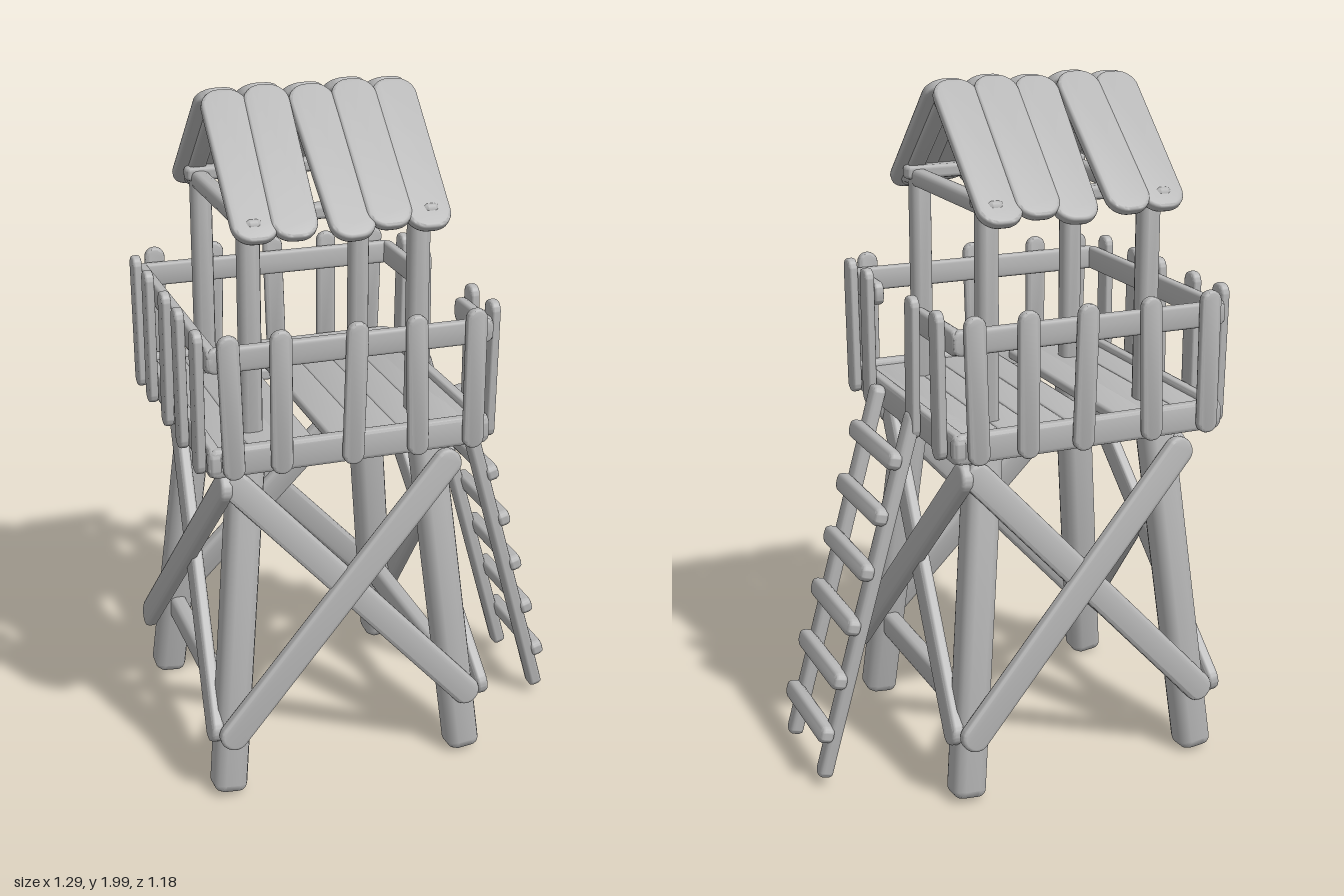
import * as THREE from 'three';
import { toCreasedNormals } from 'three/addons/utils/BufferGeometryUtils.js';

const wood = new THREE.MeshStandardMaterial({ color: 0xb6b6b6 });
wood.name = 'plainWood';

const V = (x, y, z) => new THREE.Vector3(x, y, z);

// Plank with rounded ends from a to b; its broad face looks along normal
function plank(parent, name, a, b, width, thick, normal, round = 0.48) {
  const bevel = Math.min(width, thick) * 0.28;
  const L = a.distanceTo(b) / 2, w = width / 2, r = width * round;
  const s = new THREE.Shape();
  s.moveTo(-L + r, -w);
  s.lineTo(L - r, -w);
  s.absarc(L - r, -w + r, r, -Math.PI / 2, 0);
  s.lineTo(L, w - r);
  s.absarc(L - r, w - r, r, 0, Math.PI / 2);
  s.lineTo(-L + r, w);
  s.absarc(-L + r, w - r, r, Math.PI / 2, Math.PI);
  s.lineTo(-L, -w + r);
  s.absarc(-L + r, -w + r, r, Math.PI, Math.PI * 1.5);
  const depth = thick - 2 * bevel;
  const geo = new THREE.ExtrudeGeometry(s, {
    depth, curveSegments: 5, bevelEnabled: true, bevelSegments: 2,
    bevelSize: bevel, bevelOffset: -bevel, bevelThickness: bevel,
  });
  geo.translate(0, 0, -depth / 2);
  const mesh = new THREE.Mesh(toCreasedNormals(geo, 0.8), wood);
  const X = b.clone().sub(a).normalize();
  const Y = normal.clone().cross(X).normalize();
  const Z = X.clone().cross(Y);
  mesh.quaternion.setFromRotationMatrix(new THREE.Matrix4().makeBasis(X, Y, Z));
  mesh.position.copy(a).add(b).multiplyScalar(0.5);
  mesh.name = name;
  parent.add(mesh);
  return mesh;
}

function group(parent, name, angle = 0) {
  const g = new THREE.Group();
  g.name = name;
  g.rotation.y = angle;
  parent.add(g);
  return g;
}

export function createModel() {
  const model = new THREE.Group();
  model.name = 'watchtower';
  const tower = group(model, 'tower', 0.61);
  tower.position.x = -0.07;
  const OUT = V(0, 0, 1), UP = V(0, 1, 0);

  // Splayed legs and upright roof posts at the four corners
  for (const sx of [-1, 1]) for (const sz of [-1, 1]) {
    plank(tower, 'leg', V(sx * 0.37, 0.01, sz * 0.37), V(sx * 0.265, 1.05, sz * 0.265), 0.1, 0.1, OUT, 0.3);
    plank(tower, 'roofPost', V(sx * 0.245, 1.03, sz * 0.245), V(sx * 0.245, 1.71, sz * 0.245), 0.06, 0.06, OUT, 0.35);
  }

  // Each side: crossed braces, floor beam, handrail and slats
  const sides = [
    ['front', 0, [-0.35, -0.21, 0, 0.18, 0.35], [[-0.41, 0.41]]],
    ['ladder', Math.PI / 2, [-0.36, -0.22, 0.14, 0.33], [[-0.41, -0.19], [0.11, 0.41]]],
    ['back', Math.PI, [-0.35, -0.2, -0.03, 0.17, 0.35], [[-0.41, 0.41]]],
    ['far', -Math.PI / 2, [-0.35, -0.2, 0, 0.16, 0.35], [[-0.41, 0.41]]],
  ];
  for (const [label, angle, slats, rails] of sides) {
    const side = group(tower, label + 'Side', angle);
    const tilt = V(0, 0.1, 1);
    for (const m of [-1, 1]) {
      const o = m > 0 ? 0.012 : -0.008;
      plank(side, 'crossBrace', V(-0.39 * m, 0.19, 0.415 + o), V(0.335 * m, 0.98, 0.33 + o), 0.085, 0.035, tilt);
    }
    plank(side, 'floorBeam', V(-0.41, 1.065, 0.39), V(0.41, 1.065, 0.39), 0.085, 0.035, OUT, 0.3);
    for (const [a, b] of rails) {
      plank(side, 'handrail', V(a, 1.36, 0.395), V(b, 1.36, 0.395), 0.07, 0.03, OUT, 0.35);
    }
    slats.forEach((x, i) => {
      const lean = 0.006 * ((i % 3) - 1);
      plank(side, 'railSlat', V(x - lean, 1.025, 0.423), V(x + lean, 1.435, 0.423), 0.06, 0.028, OUT);
    });
    // Low tie beam between the legs on two sides
    if (label === 'ladder' || label === 'far') {
      plank(side, 'tieBeam', V(-0.36, 0.26, 0.345), V(0.36, 0.26, 0.345), 0.08, 0.05, OUT, 0.3);
    }
  }

  // Floor boards, with one gap near the middle
  const floor = group(tower, 'floor');
  for (const x of [-0.335, -0.235, -0.15, 0, 0.1, 0.2, 0.3, 0.355]) {
    plank(floor, 'floorBoard', V(x, 1.075, -0.39), V(x, 1.075, 0.39), 0.105, 0.03, UP, 0.15);
  }
  for (const z of [-0.3, 0.3]) {
    plank(floor, 'floorJoist', V(-0.38, 1.04, z), V(0.38, 1.04, z), 0.07, 0.04, UP, 0.3);
  }

  // Roof frame
  const roof = group(tower, 'roof');
  for (const x of [-0.25, 0.25]) {
    plank(roof, 'gableBeam', V(x, 1.685, -0.33), V(x, 1.685, 0.33), 0.05, 0.05, UP, 0.35);
    for (const s of [-1, 1]) {
      plank(roof, 'rafter', V(x, 1.66, s * 0.325), V(x, 1.965, s * 0.005), 0.05, 0.035, V(0, 0.7, s * 0.7), 0.35);
    }
  }
  for (const s of [-1, 1]) {
    plank(roof, 'eaveBeam', V(-0.29, 1.7, s * 0.25), V(0.29, 1.7, s * 0.25), 0.05, 0.04, UP, 0.35);
  }
  plank(roof, 'ridgeBeam', V(-0.29, 1.935, 0), V(0.29, 1.935, 0), 0.04, 0.04, UP, 0.35);

  // Roof boards: ridge x, eave x and eave drop, leaving a tapered split
  const boards = [
    [-0.245, -0.245, 0], [-0.125, -0.14, 0.005], [0, 0.025, 0.012], [0.125, 0.13, 0], [0.245, 0.24, 0.006],
  ];
  for (const s of [-1, 1]) {
    const n = V(0, 0.72, s * 0.69);
    boards.forEach(([top, low, drop], i) => {
      const lift = i % 2 ? 0.006 : 0;
      plank(roof, 'roofBoard', V(top, 1.985 + lift, s * 0.003), V(low, 1.655 + lift - drop, s * (0.35 + drop)), 0.13, 0.03, n, 0.42);
    });
  }

  // Leaning ladder
  const ladder = group(tower, 'ladder');
  const top = V(0.42, 1.1, 0), foot = V(0.72, 0.03, 0);
  const face = V(1.07, 0.3, 0).normalize();
  for (const z of [-0.135, 0.15]) {
    plank(ladder, 'ladderRail', V(foot.x, foot.y, z), V(top.x, top.y, z), 0.055, 0.04, face, 0.4);
  }
  for (let i = 0; i < 6; i++) {
    const y = 0.17 + i * 0.16;
    const x = foot.x + (top.x - foot.x) * (y - foot.y) / (top.y - foot.y) + 0.03;
    plank(ladder, 'rung', V(x, y, -0.17), V(x, y, 0.185), 0.055, 0.04, face);
  }
  return model;
}
